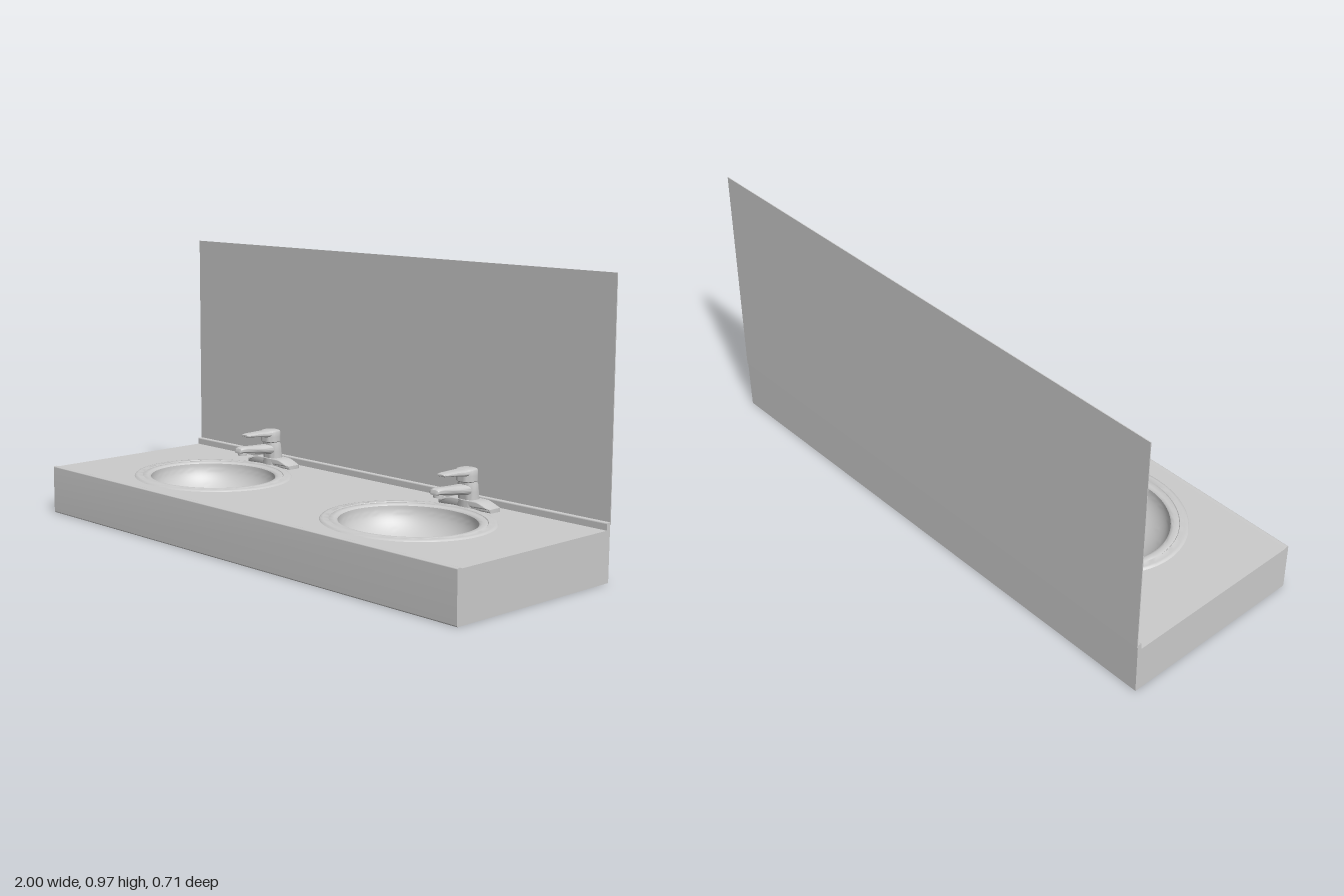
import * as THREE from 'three';
import { toCreasedNormals } from 'three/addons/utils/BufferGeometryUtils.js';

const grey = new THREE.MeshStandardMaterial({ color: 0xcccccc });
const greyDouble = new THREE.MeshStandardMaterial({ color: 0xcccccc, side: THREE.DoubleSide });

function add(parent, name, geometry, material = grey) {
  const mesh = new THREE.Mesh(geometry, material);
  mesh.name = name;
  parent.add(mesh);
  return mesh;
}

// Box given by its limits on each axis
function box(parent, name, [x0, x1], [y0, y1], [z0, z1]) {
  const mesh = add(parent, name, new THREE.BoxGeometry(x1 - x0, y1 - y0, z1 - z0));
  mesh.position.set((x0 + x1) / 2, (y0 + y1) / 2, (z0 + z1) / 2);
  return mesh;
}

// Closed skin over superellipse rings [y, z, halfWidth, halfDepth].
// Axis 'y' runs upward with flat rings, axis 'z' runs from front to back with upright rings.
function loft(axis, rings, power = 2, n = 32) {
  const pos = [], index = [];
  const bend = v => Math.sign(v) * Math.abs(v) ** (2 / power);
  for (const [y, z, a, b] of rings) {
    for (let j = 0; j < n; j++) {
      const t = (j / n) * Math.PI * 2;
      const u = a * bend(Math.cos(t)), v = b * bend(Math.sin(t));
      if (axis === 'y') pos.push(u, y, z + v);
      else pos.push(u, y + v, z);
    }
  }
  for (let i = 0; i < rings.length - 1; i++) {
    for (let j = 0; j < n; j++) {
      const k = (j + 1) % n, p = i * n, q = p + n;
      index.push(p + j, q + j, p + k, p + k, q + j, q + k);
    }
  }
  const last = rings.length - 1, c0 = pos.length / 3;
  for (const r of [rings[0], rings[last]]) pos.push(0, r[0], r[1]);
  for (let j = 0; j < n; j++) {
    const k = (j + 1) % n;
    index.push(c0, j, k, c0 + 1, last * n + k, last * n + j);
  }
  const g = new THREE.BufferGeometry();
  g.setAttribute('position', new THREE.Float32BufferAttribute(pos, 3));
  g.setIndex(index);
  return toCreasedNormals(g, 0.6);
}

const BASIN_X = 0.485, BASIN_Z = 0.02, OVAL = 0.91;

function createCounter() {
  const counter = new THREE.Group();
  counter.name = 'counter';

  // Top slab with two oval openings
  const top = new THREE.Shape();
  top.moveTo(-1, -0.345).lineTo(1, -0.345).lineTo(1, 0.348).lineTo(-1, 0.348).closePath();
  for (const s of [-1, 1]) {
    const hole = new THREE.Path();
    hole.absellipse(s * BASIN_X, -BASIN_Z, 0.25, 0.25 * OVAL, 0, Math.PI * 2, true);
    top.holes.push(hole);
  }
  const slab = new THREE.ExtrudeGeometry(top, { depth: 0.015, bevelEnabled: false, curveSegments: 40 });
  slab.rotateX(-Math.PI / 2).translate(0, 0.155, 0);
  add(counter, 'counterTop', slab);

  // Front apron with a small raised, softened lip
  const front = new THREE.Shape();
  front.moveTo(-0.335, 0).lineTo(-0.351, 0).lineTo(-0.354, 0.004).lineTo(-0.354, 0.169);
  front.quadraticCurveTo(-0.354, 0.173, -0.35, 0.173).lineTo(-0.342, 0.173);
  front.quadraticCurveTo(-0.338, 0.173, -0.335, 0.17).closePath();
  // Back apron rising into a low upstand
  const back = new THREE.Shape();
  back.moveTo(0.333, 0).lineTo(0.347, 0).lineTo(0.349, 0.194).lineTo(0.336, 0.194);
  back.quadraticCurveTo(0.333, 0.194, 0.333, 0.19).closePath();
  for (const [name, shape] of [['frontApron', front], ['backApron', back]]) {
    const g = new THREE.ExtrudeGeometry(shape, { depth: 2, bevelEnabled: false });
    g.rotateY(Math.PI / 2).translate(-1, 0, 0);
    add(counter, name, toCreasedNormals(g, 0.6));
  }
  for (const s of [-1, 1]) {
    const x = s < 0 ? [-1, -0.985] : [0.985, 1];
    box(counter, s < 0 ? 'rightEnd' : 'leftEnd', x, [0, 0.17], [-0.346, 0.35]);
  }
  return counter;
}

function createBasin() {
  const basin = new THREE.Group();
  basin.name = 'basin';

  // Bowl curve from drain to brim, then a flat rim with a fine groove
  const profile = [];
  for (let i = 0; i <= 24; i++) {
    const t = (i / 24) * Math.PI / 2;
    profile.push(new THREE.Vector2(0.235 * Math.sin(t), 0.168 - 0.138 * Math.cos(t)));
  }
  for (const [r, y] of [[0.239, 0.172], [0.246, 0.174], [0.262, 0.174], [0.264, 0.1725],
    [0.266, 0.175], [0.285, 0.175], [0.293, 0.174], [0.297, 0.17]]) {
    profile.push(new THREE.Vector2(r, y));
  }
  const bowl = toCreasedNormals(new THREE.LatheGeometry(profile, 72), 0.7);
  add(basin, 'bowl', bowl, greyDouble).scale.z = OVAL;

  // Drain ring and plug
  const ring = add(basin, 'drainRing', new THREE.TorusGeometry(0.016, 0.003, 8, 28));
  ring.rotation.x = Math.PI / 2;
  ring.position.y = 0.032;
  add(basin, 'drainPlug', new THREE.CylinderGeometry(0.009, 0.011, 0.006, 20)).position.y = 0.032;
  return basin;
}

function createFaucet() {
  const faucet = new THREE.Group();
  faucet.name = 'faucet';

  // Base plate, thin at the ends and swelling to the middle
  const s = new THREE.Shape();
  s.moveTo(-0.113, 0.173).lineTo(0.113, 0.173).lineTo(0.113, 0.18);
  s.bezierCurveTo(0.085, 0.184, 0.075, 0.195, 0.05, 0.196).lineTo(-0.05, 0.196);
  s.bezierCurveTo(-0.075, 0.195, -0.085, 0.184, -0.113, 0.18).closePath();
  const plate = new THREE.ExtrudeGeometry(s, {
    depth: 0.052, bevelThickness: 0.004, bevelSize: 0.004, bevelSegments: 3 });
  plate.translate(0, 0, -0.296);
  // Round the ends in plan
  const p = plate.attributes.position;
  for (let i = 0; i < p.count; i++) {
    const over = Math.max(0, Math.abs(p.getX(i)) - 0.085) / 0.032;
    p.setZ(i, -0.27 + (p.getZ(i) + 0.27) * (1 - 0.25 * over * over));
  }
  add(faucet, 'basePlate', toCreasedNormals(plate, 0.6));

  // Column with a seam above the plate and a collar under the handle
  add(faucet, 'column', loft('y', [
    [0.174, -0.268, 0.037, 0.031], [0.198, -0.268, 0.037, 0.031], [0.2, -0.268, 0.035, 0.029],
    [0.225, -0.266, 0.034, 0.029], [0.25, -0.263, 0.033, 0.029], [0.256, -0.261, 0.031, 0.028],
    [0.264, -0.26, 0.029, 0.026],
  ], 2.6));

  // Spout reaching over the basin, with its outlet
  add(faucet, 'spout', loft('z', [
    [0.239, -0.096, 0.014, 0.004], [0.243, -0.1, 0.019, 0.009], [0.245, -0.11, 0.021, 0.011],
    [0.244, -0.13, 0.022, 0.012], [0.24, -0.17, 0.023, 0.0135], [0.236, -0.21, 0.026, 0.016],
    [0.233, -0.24, 0.03, 0.018], [0.232, -0.262, 0.03, 0.018],
  ], 2.8));
  const outlet = add(faucet, 'outlet', new THREE.CylinderGeometry(0.017, 0.017, 0.014, 24));
  outlet.position.set(0, 0.232, -0.12);

  // Handle cap and the lever growing out of it
  add(faucet, 'handleCap', loft('y', [
    [0.258, -0.259, 0.029, 0.028], [0.262, -0.258, 0.034, 0.032], [0.28, -0.258, 0.034, 0.032],
    [0.297, -0.258, 0.034, 0.032], [0.301, -0.258, 0.032, 0.03], [0.303, -0.258, 0.026, 0.025],
  ], 2.6));
  add(faucet, 'lever', loft('z', [
    [0.295, -0.131, 0.014, 0.003], [0.295, -0.135, 0.019, 0.005], [0.295, -0.15, 0.022, 0.0065],
    [0.2935, -0.19, 0.024, 0.009], [0.291, -0.225, 0.029, 0.0115], [0.291, -0.255, 0.031, 0.0115],
  ], 3));
  return faucet;
}

export function createModel() {
  const model = new THREE.Group();
  model.name = 'doubleWashbasin';
  model.add(createCounter());

  // Thin upright panel behind the counter
  box(model, 'mirrorPanel', [-1, 1], [0.185, 0.97], [-0.352, -0.349]);

  for (const s of [-1, 1]) {
    const basin = createBasin();
    basin.position.set(s * BASIN_X, 0, BASIN_Z);
    const faucet = createFaucet();
    faucet.position.x = s * BASIN_X;
    model.add(basin, faucet);
  }
  return model;
}
